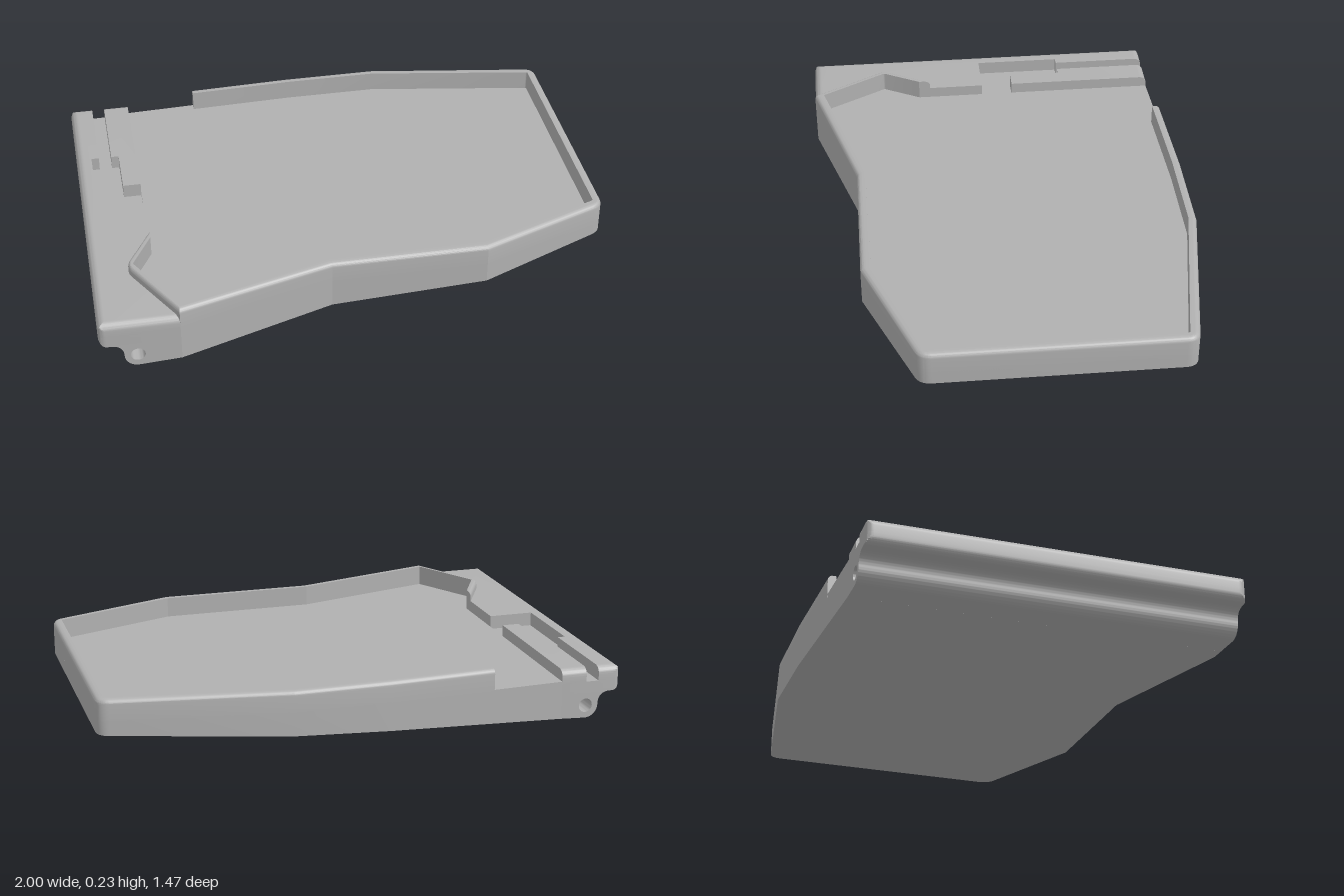
import * as THREE from 'three';
import { toCreasedNormals } from 'three/addons/utils/BufferGeometryUtils.js';

const BACK = -0.71, FRONT = 0.73, LEFT = -1, FLOOR = 0.155, CREASE = 0.24;

// Polygon of [x, z, radius?] corners -> Vector2 points, rounding corners that have a radius
function outline(corners) {
  const pts = corners.map(c => new THREE.Vector2(c[0], c[1]));
  return pts.flatMap((p, i) => {
    const r = corners[i][2];
    if (!r) return [p];
    const toward = q => q.clone().sub(p).setLength(r).add(p);
    const prev = pts[(i + pts.length - 1) % pts.length], next = pts[(i + 1) % pts.length];
    return new THREE.QuadraticBezierCurve(toward(prev), p, toward(next)).getPoints(8);
  });
}

// Quarter-round edge as [height, inset] pairs, going up from yEdge to yEdge + r
function roundTop(yEdge, r, n = 7) {
  return Array.from({ length: n + 1 }, (_, i) => {
    const a = (i / n) * Math.PI / 2;
    return [yEdge + r * Math.sin(a), r * (1 - Math.cos(a))];
  });
}

// Upright prism through [height, inset] layers; move(v, height, inset) places each vertex
function slab(corners, layers, move) {
  const shape = new THREE.Shape(outline(corners).map(p => new THREE.Vector2(p.x, -p.y)));
  const n = layers.length - 1;
  const geo = new THREE.ExtrudeGeometry(shape, { depth: n, steps: n, bevelEnabled: false });
  geo.rotateX(-Math.PI / 2);
  const pos = geo.attributes.position, v = new THREE.Vector3();
  for (let i = 0; i < pos.count; i++) {
    v.fromBufferAttribute(pos, i);
    const [y, inset] = layers[Math.round(v.y)];
    v.y = y;
    if (move) move(v, inset);
    pos.setXYZ(i, v.x, v.y, v.z);
  }
  return toCreasedNormals(geo, CREASE);
}

// Wall swept between matching outer and inner outlines, with a rounded outer top edge
function wall(outer, inner, y0, y1, r, thickness) {
  const section = [[y0, 0], ...roundTop(y1 - r, r), [y1, thickness], [y0, thickness]];
  const m = section.length, pos = [], idx = [];
  outer.forEach((o, i) => section.forEach(([y, t]) => {
    const p = o.clone().lerp(inner[i], t / thickness);
    pos.push(p.x, y, p.y);
  }));
  for (let i = 0; i < outer.length - 1; i++) {
    for (let j = 0; j < m - 1; j++) {
      const a = i * m + j, b = a + 1, c = a + m, d = c + 1;
      idx.push(a, b, c, b, d, c);
    }
  }
  const last = (outer.length - 1) * m;
  for (let j = 1; j < m - 1; j++) {
    idx.push(0, j + 1, j);
    idx.push(last, last + j, last + j + 1);
  }
  const geo = new THREE.BufferGeometry();
  geo.setAttribute('position', new THREE.Float32BufferAttribute(pos, 3));
  geo.setIndex(idx);
  return toCreasedNormals(geo.toNonIndexed(), CREASE);
}

export function createModel() {
  const group = new THREE.Group();
  const grey = new THREE.MeshStandardMaterial({ color: 0xb0b0b0 });
  grey.name = 'plain grey';
  const add = (name, geo) => {
    const mesh = new THREE.Mesh(geo, grey);
    mesh.name = name;
    group.add(mesh);
  };

  // Tray base with a sloping underside
  const base = [
    [-0.76, BACK], [-0.07, -0.738], [0.3, -0.738], [1, -0.625, 0.045],
    [1, 0.385, 0.045], [0.49, 0.575], [-0.11, 0.57], [-0.7, FRONT], [-0.76, FRONT],
  ];
  add('trayBase', slab(base, [[0, 1], [FLOOR, 0]], (v, low) => {
    if (low) v.y = (v.x + 0.86) * 0.1 / 1.86;
  }));

  // Raised rim, open beside the hinge
  const outer = [
    [-0.48, -0.722], [-0.07, -0.738], [0.3, -0.738], [1, -0.625, 0.045], [1, 0.385, 0.045],
    [0.49, 0.575], [-0.11, 0.57], [-0.7, FRONT], [-0.868, 0.43, 0.04], [-0.76, 0.235],
  ];
  const inner = [
    [-0.48, -0.69], [-0.07, -0.705], [0.3, -0.705], [0.965, -0.592, 0.006], [0.965, 0.36, 0.006],
    [0.49, 0.535], [-0.12, 0.535], [-0.695, 0.692], [-0.84, 0.43, 0.006], [-0.76, 0.282],
  ];
  add('rim', wall(outline(outer), outline(inner), 0.14, 0.235, 0.02, 0.035));

  // Floor continued into the corner behind the rim
  add('floorCorner', slab([[-0.76, 0.24], [-0.86, 0.43], [-0.7, FRONT]], [[0.14, 0], [FLOOR, 0]]));

  // Hinge deck, rounded under its outer edge
  const under = roundTop(-0.13, 0.03).map(([y, inset]) => [-y, inset]).reverse();
  add('hingeDeck', slab(
    [[LEFT, BACK, 0.03], [-0.76, BACK], [-0.76, FRONT], [LEFT, FRONT, 0.03]],
    [...under, [0.145, 0]],
    (v, inset) => { v.x = Math.max(v.x, LEFT + inset); },
  ));

  // Raised blocks around the stepped latch groove
  const top = [[0.145, 0], ...roundTop(0.17, 0.03)];
  const roundEnds = (v, inset) => {
    v.x = Math.max(v.x, LEFT + inset);
    v.z = THREE.MathUtils.clamp(v.z, BACK + inset, FRONT - inset);
  };
  add('hingeTop', slab([
    [LEFT, BACK, 0.03], [-0.91, BACK], [-0.91, -0.33], [-0.94, -0.33], [-0.94, 0.01], [-0.76, 0.01],
    [-0.76, 0.24], [-0.86, 0.43], [-0.7, FRONT], [LEFT, FRONT, 0.03],
  ], top, roundEnds));
  add('grooveBlock', slab([
    [-0.86, BACK], [-0.76, BACK], [-0.76, -0.12], [-0.83, -0.12], [-0.83, -0.33], [-0.86, -0.33],
  ], top, roundEnds));

  // Hinge barrel with a pin hole along its length
  const profile = new THREE.Shape();
  profile.moveTo(-0.96, 0.1);
  profile.quadraticCurveTo(-0.91, 0.1, -0.91, 0.05);
  profile.absarc(-0.86, 0.05, 0.05, Math.PI, Math.PI * 1.5, false);
  profile.lineTo(-0.76, 0.0054);
  profile.lineTo(-0.76, 0.1);
  const hole = new THREE.Path();
  hole.absarc(-0.86, 0.05, 0.027, 0, Math.PI * 2, true);
  profile.holes.push(hole);
  const barrel = new THREE.ExtrudeGeometry(profile, { depth: FRONT - BACK, bevelEnabled: false, curveSegments: 16 });
  barrel.translate(0, 0, BACK);
  add('hingeBarrel', toCreasedNormals(barrel, 0.5));

  return group;
}
